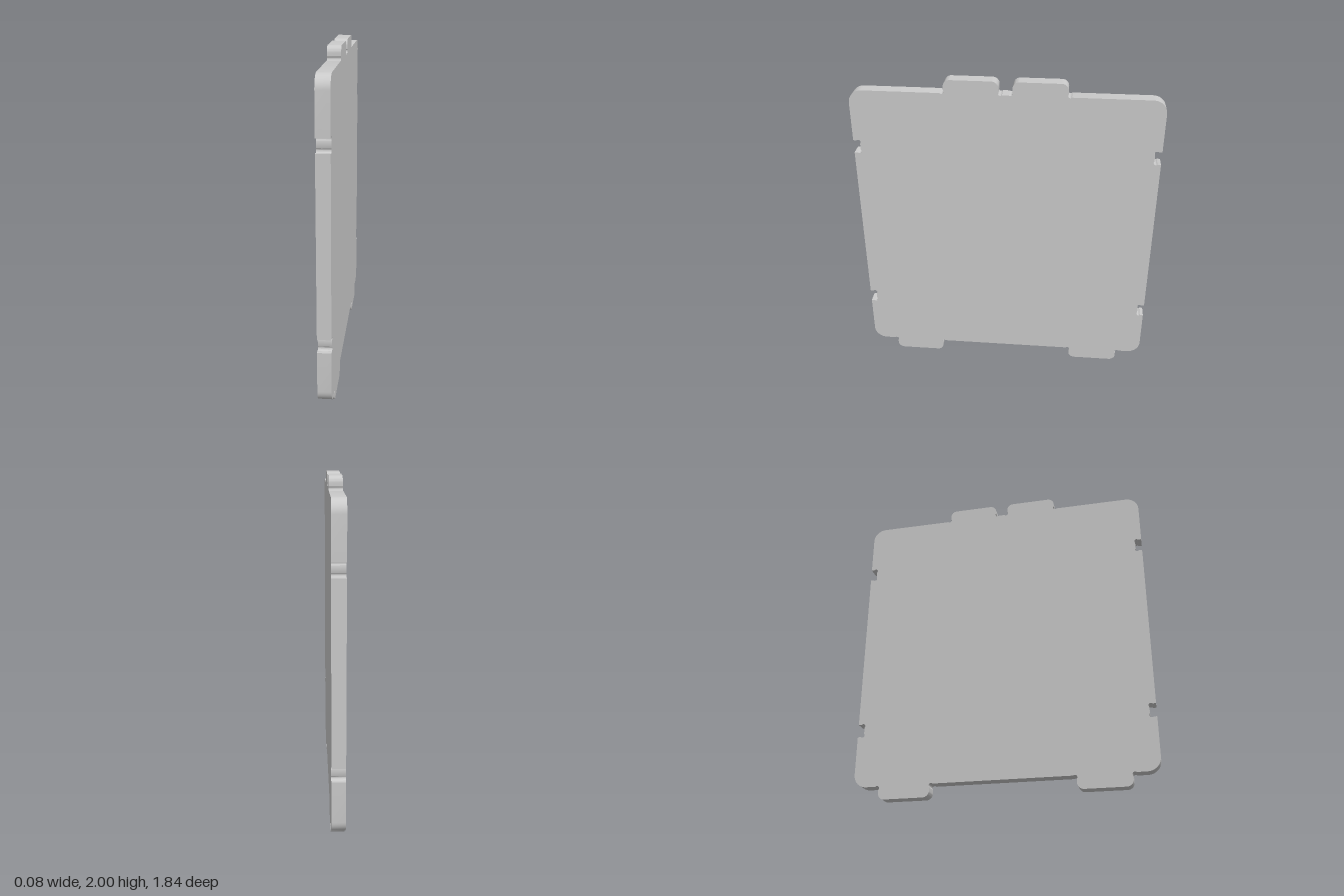
import * as THREE from 'three';
import { toCreasedNormals } from 'three/addons/utils/BufferGeometryUtils.js';

const THICKNESS = 0.08;
const DOG = -0.02; // negative radius marks a round relief cut in an inner corner

// Half outline, counterclockwise from the bottom middle: [across, up, corner radius]
const HALF = [
  // bottom tab
  [0.44, 0.08, DOG], [0.44, 0, 0.04], [0.76, 0, 0.04], [0.76, 0.08, DOG],
  [0.92, 0.08, 0.08],
  // lower and upper side notches
  ...[0.4, 1.52].flatMap((y) => [
    [0.92, y, 0], [0.88, y, DOG], [0.88, y + 0.08, DOG], [0.92, y + 0.08, 0],
  ]),
  [0.92, 1.92, 0.08],
  // top tab
  [0.36, 1.92, DOG], [0.36, 2, 0.04], [0.04, 2, 0.04], [0.04, 1.92, DOG],
];

// Replaces each corner by a fillet, a relief arc or a sharp point
function outline(corners) {
  const n = corners.length;
  const points = [];
  corners.forEach(([x, y, r], i) => {
    const p = new THREE.Vector2(x, y);
    if (r === 0) return points.push(p);
    const toward = (c) => new THREE.Vector2(c[0], c[1]).sub(p).normalize();
    const a = toward(corners[(i + n - 1) % n]);
    const b = toward(corners[(i + 1) % n]);
    const steps = r > 0 ? 10 : 12;
    for (let k = 0; k <= steps; k++) {
      const q = p.clone();
      if (r > 0) {
        const t = (k / steps) * Math.PI / 2;
        q.addScaledVector(a, r * (1 - Math.sin(t))).addScaledVector(b, r * (1 - Math.cos(t)));
      } else {
        const t = (k / steps) * Math.PI;
        const h = -r / 2;
        q.addScaledVector(a, h * (1 + Math.cos(t) - Math.sin(t)));
        q.addScaledVector(b, h * (1 - Math.cos(t) - Math.sin(t)));
      }
      points.push(q);
    }
  });
  return points;
}

export function createModel() {
  const group = new THREE.Group();
  group.name = 'tabbedPanel';

  // Mirror the half outline and extrude it into an upright plate
  const mirrored = HALF.map(([x, y, r]) => [-x, y, r]).reverse();
  const shape = new THREE.Shape(outline([...HALF, ...mirrored]));
  const geometry = new THREE.ExtrudeGeometry(shape, { depth: THICKNESS, bevelEnabled: false });
  geometry.translate(0, 0, -THICKNESS / 2);
  geometry.rotateY(Math.PI / 2);

  const panel = new THREE.Mesh(
    toCreasedNormals(geometry, 0.5),
    new THREE.MeshStandardMaterial({ color: 0xcccccc })
  );
  panel.name = 'panel';
  group.add(panel);
  return group;
}
